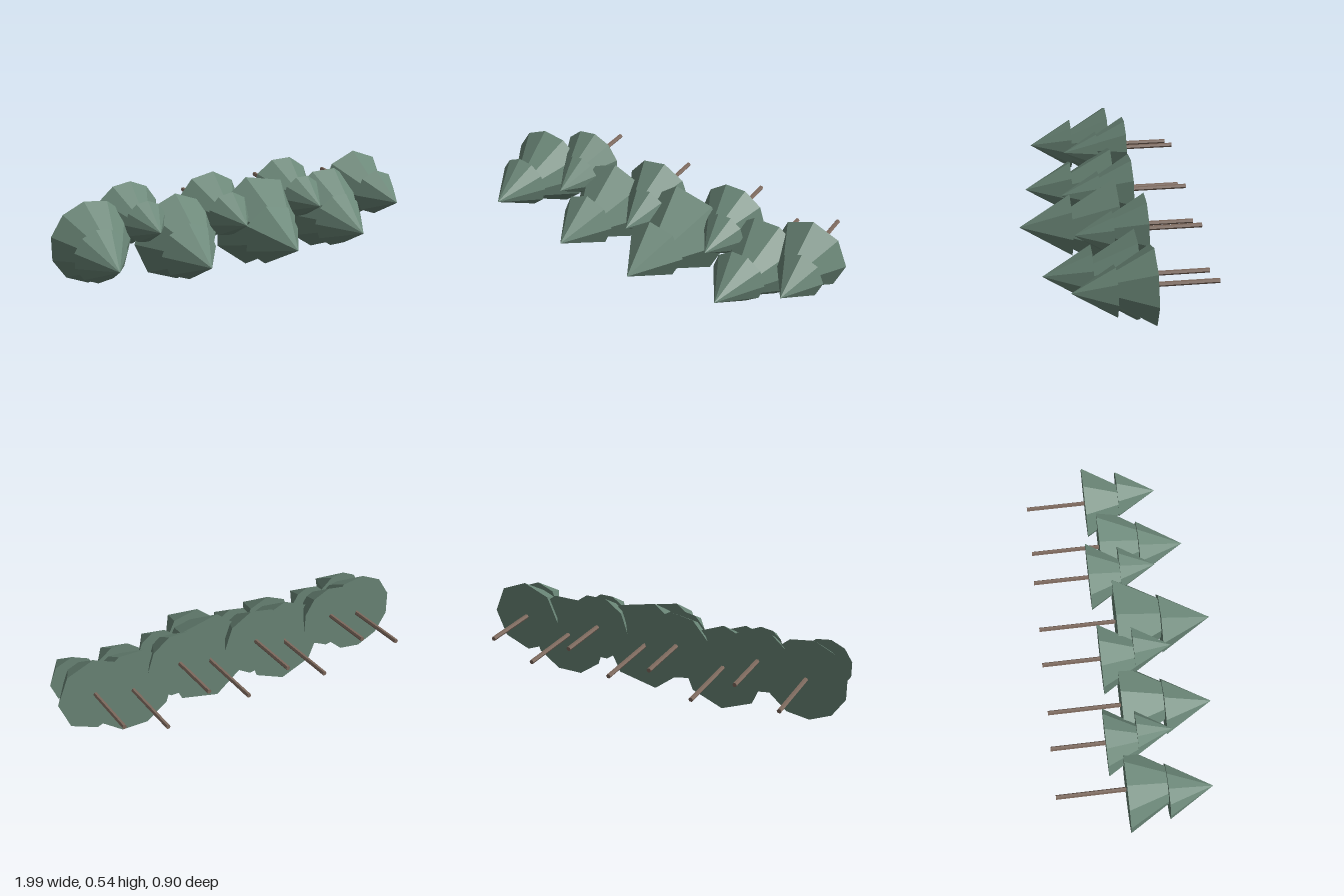
import * as THREE from 'three';

// One entry per tree: x and y of the trunk axis, total length, sides, turn of the first corner
const TREES = [
  { x: -0.787, y: 0.286, len: 0.783, sides: 11, turn: 0 },
  { x: -0.560, y: 0.370, len: 0.613, sides: 11, turn: Math.PI / 11 },
  { x: -0.333, y: 0.236, len: 0.840, sides: 8, turn: 0 },
  { x: -0.107, y: 0.343, len: 0.666, sides: 9, turn: 0 },
  { x: 0.120, y: 0.258, len: 0.895, sides: 7, turn: 0 },
  { x: 0.345, y: 0.360, len: 0.640, sides: 10, turn: 0 },
  { x: 0.571, y: 0.236, len: 0.810, sides: 10, turn: 0 },
  { x: 0.798, y: 0.320, len: 0.696, sides: 8, turn: 0 },
];
const BACK = -0.45; // z where all the trunks start

export function createModel() {
  const needleGreen = new THREE.MeshStandardMaterial({ name: 'needleGreen', color: 0x6b8778, flatShading: true });
  const barkBrown = new THREE.MeshStandardMaterial({ name: 'barkBrown', color: 0x7d695d, flatShading: true });
  const model = new THREE.Group();
  model.name = 'treeRow';

  // Tapered round part lying along +z, starting at z = start
  const lying = (name, rTip, rBase, length, start, sides, turn, material) => {
    const geo = rTip === 0
      ? new THREE.ConeGeometry(rBase, length, sides)
      : new THREE.CylinderGeometry(rTip, rBase, length, sides);
    geo.rotateY(Math.PI / 2 + turn).rotateX(Math.PI / 2).translate(0, 0, start + length / 2);
    const mesh = new THREE.Mesh(geo, material);
    mesh.name = name;
    return mesh;
  };

  TREES.forEach(({ x, y, len, sides, turn }, i) => {
    const tree = new THREE.Group();
    tree.name = `tree${i + 1}`;
    tree.position.set(x, y, BACK);

    // Trunk runs into the lower foliage
    const trunk = lying('trunk', 0.012, 0.012, len * 0.5, 0, 6, 0, barkBrown);
    const lower = lying('lowerFoliage', 0, len * 0.28, len * 0.46, len * 0.45, sides, turn, needleGreen);
    // Tops lean alternately to either side
    const upper = lying('upperFoliage', 0, len * 0.18, len * 0.295, len * 0.708, sides, turn, needleGreen);
    upper.position.x = i % 2 ? 0.033 : -0.033;

    tree.add(trunk, lower, upper);
    model.add(tree);
  });
  return model;
}
